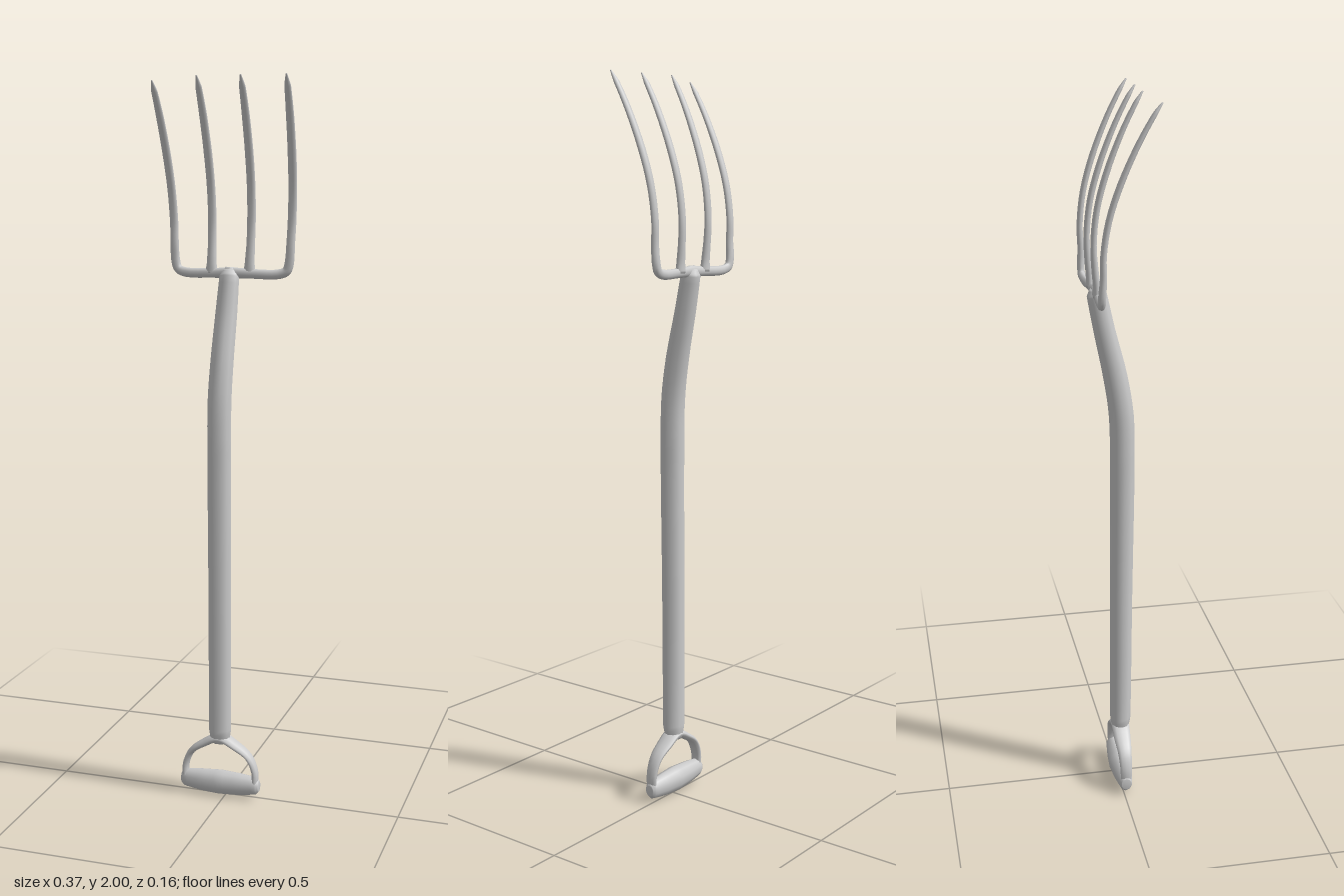
import * as THREE from 'three';

const material = new THREE.MeshStandardMaterial({ color: 0xcccccc });

// Sweeps an oval section along a smooth path.
// Each station is [x, y, z, half width, half depth]; depth stays towards z.
function sweep(name, stations, steps = 4, sides = 10) {
  const curve = new THREE.CatmullRomCurve3(stations.map(s => new THREE.Vector3(s[0], s[1], s[2])));
  const rings = (stations.length - 1) * steps;
  const pos = [], idx = [];
  for (let i = 0; i <= rings; i++) {
    const t = i / rings;
    const p = curve.getPoint(t), tan = curve.getTangent(t);
    const depth = new THREE.Vector3(0, 0, 1).addScaledVector(tan, -tan.z).normalize();
    const side = new THREE.Vector3().crossVectors(depth, tan);
    const k = Math.min(Math.floor(i / steps), stations.length - 2);
    const f = i / steps - k;
    const w = THREE.MathUtils.lerp(stations[k][3], stations[k + 1][3], f);
    const d = THREE.MathUtils.lerp(stations[k][4], stations[k + 1][4], f);
    for (let j = 0; j < sides; j++) {
      const a = (j / sides) * Math.PI * 2;
      const v = p.clone().addScaledVector(side, Math.cos(a) * w).addScaledVector(depth, Math.sin(a) * d);
      pos.push(v.x, v.y, v.z);
    }
  }
  for (let i = 0; i < rings; i++) {
    for (let j = 0; j < sides; j++) {
      const a = i * sides + j, b = i * sides + (j + 1) % sides;
      idx.push(a, b, b + sides, a, b + sides, a + sides);
    }
  }
  // end caps
  const first = pos.length / 3, end = rings * sides;
  for (const s of [stations[0], stations[stations.length - 1]]) pos.push(s[0], s[1], s[2]);
  for (let j = 0; j < sides; j++) {
    const n = (j + 1) % sides;
    idx.push(first, n, j, first + 1, end + j, end + n);
  }
  const geo = new THREE.BufferGeometry();
  geo.setAttribute('position', new THREE.Float32BufferAttribute(pos, 3));
  geo.setIndex(idx);
  geo.computeVertexNormals();
  const mesh = new THREE.Mesh(geo, material);
  mesh.name = name;
  return mesh;
}

export function createModel() {
  const group = new THREE.Group();
  group.name = 'gardenFork';
  const cx = -0.016; // handle centre line

  // Shaft, bent backwards near the head
  group.add(sweep('shaft', [
    [cx, 0.16, 0.007, 0.026, 0.023],
    [cx, 0.2, 0.008, 0.033, 0.03],
    [cx, 0.6, 0.010, 0.033, 0.032],
    [cx, 1.0, 0.013, 0.034, 0.034],
    [cx, 1.14, 0.010, 0.034, 0.034],
    [-0.014, 1.25, -0.006, 0.033, 0.033],
    [-0.011, 1.38, -0.035, 0.031, 0.029],
    [-0.009, 1.475, -0.054, 0.028, 0.027],
    [-0.009, 1.493, -0.058, 0.016, 0.015],
  ]));

  // Bow joining the shaft to the grip
  const half = [
    [0.103, 0.035, 0.009, 0.016],
    [0.103, 0.08, 0.009, 0.017],
    [0.085, 0.122, 0.009, 0.02],
    [0.045, 0.152, 0.011, 0.025],
  ];
  const arm = s => half.map(([x, y, w, d]) => [cx + s * x, y, 0.006, w, d]);
  group.add(sweep('bow', [...arm(-1), [cx, 0.173, 0.007, 0.013, 0.027], ...arm(1).reverse()]));

  // Barrel-shaped grip
  group.add(sweep('grip', [
    [-0.131, 0.037, 0.005, 0.017, 0.014],
    [-0.122, 0.037, 0.005, 0.026, 0.019],
    [-0.07, 0.036, 0.005, 0.033, 0.026],
    [cx, 0.036, 0.005, 0.036, 0.03],
    [0.04, 0.036, 0.005, 0.033, 0.026],
    [0.09, 0.037, 0.005, 0.026, 0.019],
    [0.1, 0.037, 0.005, 0.015, 0.012],
  ]));

  // Tines: height, z of the curve, half width, half depth
  const profile = [
    [1.56, -0.068, 0.012, 0.009],
    [1.62, -0.071, 0.012, 0.008],
    [1.71, -0.062, 0.012, 0.008],
    [1.8, -0.038, 0.012, 0.008],
    [1.9, 0.001, 0.011, 0.007],
    [1.97, 0.036, 0.009, 0.006],
    [1.998, 0.053, 0.002, 0.002],
  ];
  const tine = (x0, x1, extra, drop) => profile.map(([y, z, w, d]) => {
    const f = (y - 1.5) / 0.5;
    return [x0 + (x1 - x0) * f, y - drop * f, z + extra * f, w, d];
  });

  // Inner tines rise straight from the crossbar
  for (const [name, x0, x1, extra] of [['innerRightTine', -0.062, -0.064, 0], ['innerLeftTine', 0.046, 0.057, 0.005]]) {
    group.add(sweep(name, [
      [x0, 1.483, -0.062, 0.018, 0.011],
      [x0, 1.51, -0.063, 0.014, 0.01],
      ...tine(x0, x1, extra, 0),
    ]));
  }

  // Outer tines turn out of the crossbar in one piece
  for (const [name, s, x0, x1, extra, drop] of [
    ['outerRightTine', -1, -0.168, -0.178, 0.025, 0.012],
    ['outerLeftTine', 1, 0.156, 0.179, 0.007, 0]]) {
    group.add(sweep(name, [
      [-0.009 - s * 0.012, 1.486, -0.057, 0.015, 0.011],
      [s * 0.06, 1.483, -0.061, 0.013, 0.01],
      [x0 - s * 0.032, 1.483, -0.066, 0.013, 0.01],
      [x0 - s * 0.008, 1.492, -0.068, 0.013, 0.01],
      [x0, 1.517, -0.068, 0.013, 0.01],
      ...tine(x0, x1, extra, drop),
    ]));
  }

  return group;
}
